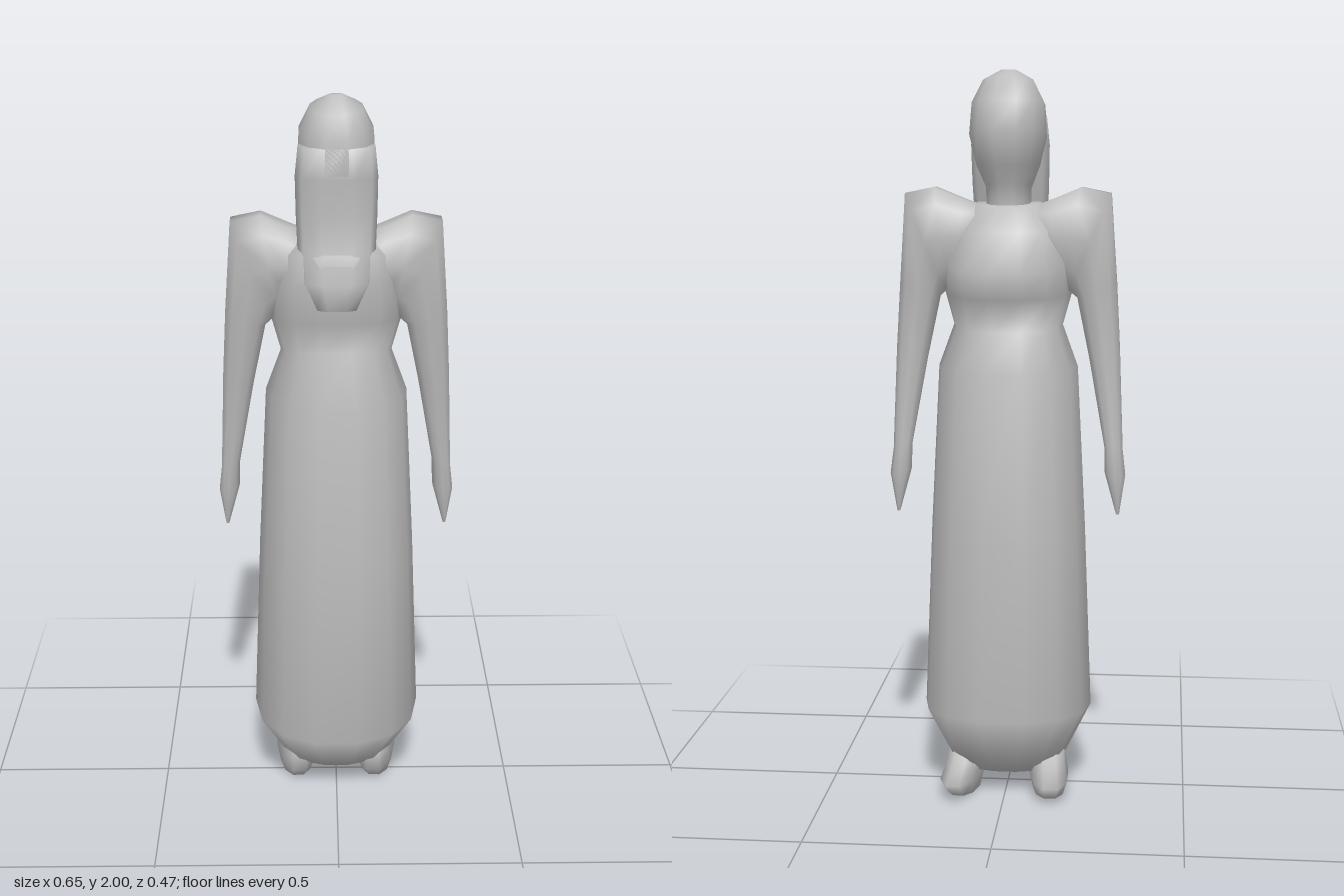
import * as THREE from 'three';

const grey = new THREE.MeshStandardMaterial({ color: 0xbcbcbc });
grey.name = 'plain grey';

// Lofts closed rings. Each section is [a, yA, b, yB, half, shift]: two opposite edge
// points (a along the main axis, at heights yA and yB), the half width across and its offset.
function loft(name, axis, sections, sides = 12, square = 0.9) {
  const pos = [], idx = [];
  const put = (main, y, cross) => (axis === 'x' ? pos.push(main, y, cross) : pos.push(cross, y, main));
  const soft = (v) => Math.sign(v) * Math.pow(Math.abs(v), square);
  for (const [a, yA, b, yB, half, shift = 0] of sections) {
    for (let i = 0; i < sides; i++) {
      const t = ((i + 0.5) / sides) * Math.PI * 2;
      const k = 0.5 + 0.5 * soft(Math.cos(t)) / soft(Math.cos(Math.PI / sides));
      put(b + (a - b) * k, yB + (yA - yB) * k, shift + half * soft(Math.sin(t)));
    }
  }
  for (let r = 0; r < sections.length - 1; r++) {
    for (let i = 0; i < sides; i++) {
      const j = (i + 1) % sides, p = r * sides, q = p + sides;
      idx.push(p + i, q + i, q + j, p + i, q + j, p + j);
    }
  }
  // End caps
  const last = sections.length - 1;
  for (const r of [0, last]) {
    const [a, yA, b, yB, , shift = 0] = sections[r];
    const c = pos.length / 3;
    put((a + b) / 2, (yA + yB) / 2, shift);
    for (let i = 0; i < sides; i++) {
      const p = r * sides + i, q = r * sides + (i + 1) % sides;
      if (r === 0) idx.push(c, p, q); else idx.push(c, q, p);
    }
  }
  // Turn the faces outward
  const v = (i) => new THREE.Vector3().fromArray(pos, i * 3);
  let volume = 0;
  for (let i = 0; i < idx.length; i += 3) volume += v(idx[i]).dot(v(idx[i + 1]).cross(v(idx[i + 2])));
  if (volume < 0) idx.reverse();
  const g = new THREE.BufferGeometry();
  g.setAttribute('position', new THREE.Float32BufferAttribute(pos, 3));
  g.setIndex(idx);
  g.computeVertexNormals();
  const mesh = new THREE.Mesh(g, grey);
  mesh.name = name;
  return mesh;
}

export function createModel() {
  const model = new THREE.Group();
  model.name = 'womanInLongGown';

  // Gown: gathered hem, long skirt, waist, bust and shoulders
  model.add(loft('gown', 'z', [
    [0.07, 0.05, -0.1, 0.06, 0.12],
    [0.11, 0.08, -0.16, 0.12, 0.165],
    [0.235, 0.22, -0.235, 0.25, 0.235],
    [0.212, 0.75, -0.205, 0.75, 0.215],
    [0.19, 1.2, -0.18, 1.2, 0.192],
    [0.11, 1.33, -0.09, 1.3, 0.15],
    [0.14, 1.42, -0.12, 1.39, 0.175],
    [0.152, 1.53, -0.15, 1.46, 0.172],
    [0.14, 1.6, -0.105, 1.57, 0.15],
    [0.11, 1.65, -0.07, 1.64, 0.09],
  ], 14));

  // Head and neck
  model.add(loft('head', 'z', [
    [0.1, 1.52, -0.06, 1.54, 0.08],
    [0.1, 1.6, -0.06, 1.64, 0.06],
    [0.11, 1.67, -0.07, 1.7, 0.062],
    [0.125, 1.74, -0.1, 1.75, 0.087],
    [0.13, 1.81, -0.13, 1.84, 0.105],
    [0.13, 1.9, -0.1, 1.92, 0.1],
    [0.1, 1.96, -0.06, 1.98, 0.07],
    [0.03, 2.0, -0.0, 2.0, 0.02],
  ]));

  // Long hair falling down the back
  model.add(loft('hair', 'z', [
    [0.155, 1.46, 0.08, 1.46, 0.06],
    [0.157, 1.53, 0.07, 1.53, 0.095],
    [0.135, 1.61, 0.05, 1.61, 0.102],
    [0.122, 1.7, 0.03, 1.7, 0.106],
    [0.13, 1.8, 0.0, 1.8, 0.108],
    [0.13, 1.88, 0.0, 1.88, 0.1],
  ], 10, 0.8));

  for (const s of [1, -1]) {
    const side = s > 0 ? 'left' : 'right';
    // Puffed shoulder, arm and pointed hand; [inner x, y, outer x, y, half depth, z]
    model.add(loft(side + 'Arm', 'x', [
      [0.04, 1.5, 0.05, 1.63, 0.07, 0.01],
      [0.13, 1.46, 0.12, 1.655, 0.085, 0.01],
      [0.155, 1.43, 0.2, 1.688, 0.083, 0.005],
      [0.168, 1.41, 0.28, 1.672, 0.078, 0.005],
      [0.19, 1.39, 0.297, 1.43, 0.058, 0.01],
      [0.225, 1.22, 0.307, 1.25, 0.045, 0.0],
      [0.268, 0.98, 0.318, 0.97, 0.028, -0.015],
      [0.27, 0.91, 0.326, 0.9, 0.038, -0.02],
      [0.302, 0.79, 0.31, 0.79, 0.005, -0.02],
    ].map(([a, ya, b, yb, h, z]) => [s * a, ya, s * b, yb, h, z]), 10));

    // Foot pointing out from under the hem
    const foot = loft(side + 'Foot', 'z', [
      [0.04, 0, -0.14, 0, 0.045],
      [0.09, 0.045, -0.215, 0.055, 0.055],
      [0.085, 0.09, -0.12, 0.09, 0.05],
      [0.06, 0.2, -0.06, 0.18, 0.045],
    ], 10);
    foot.position.x = s * 0.115;
    foot.rotation.y = -s * 0.1;
    model.add(foot);
  }
  return model;
}
